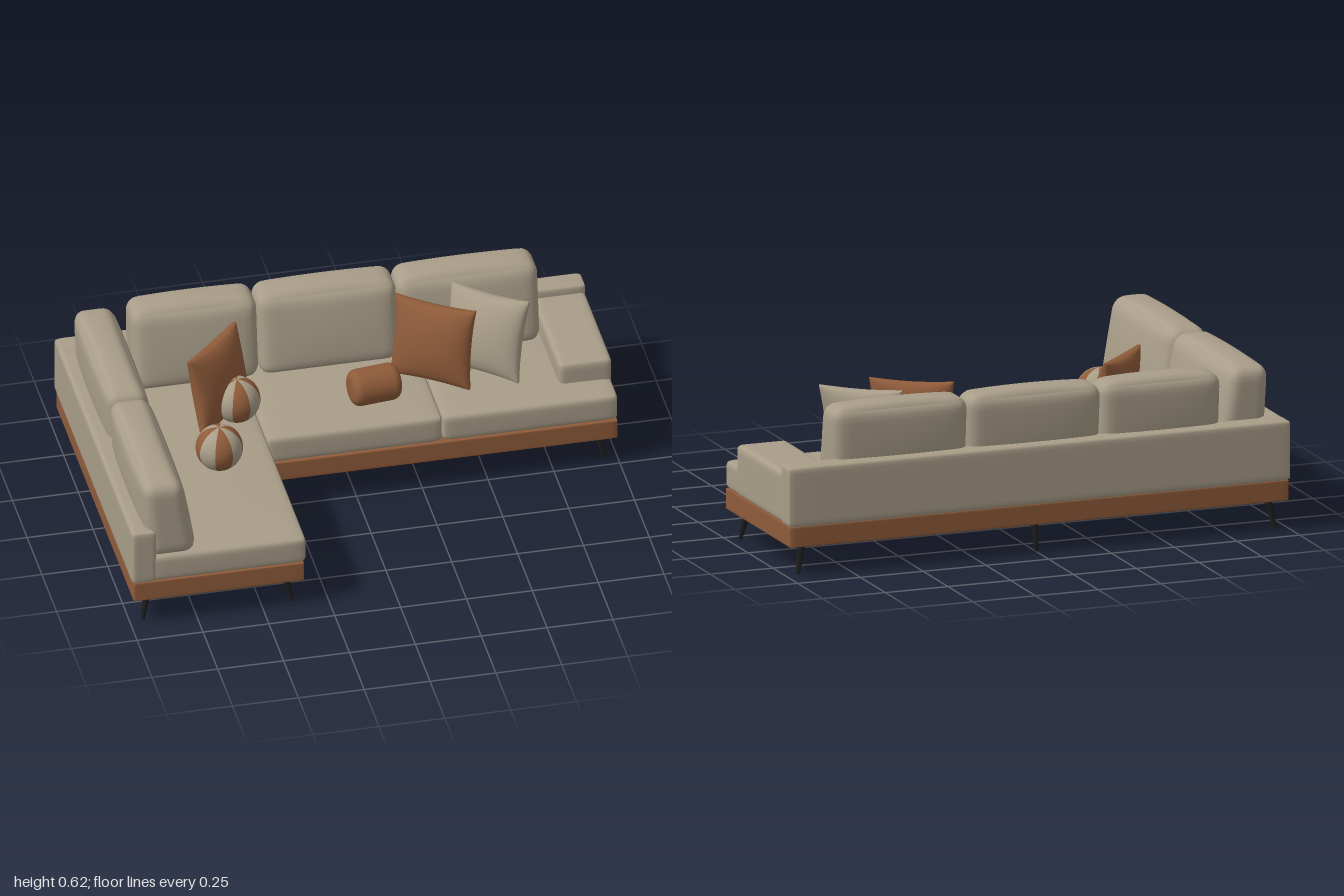
import * as THREE from 'three';
import { mergeVertices } from 'three/addons/utils/BufferGeometryUtils.js';

const material = (name, color) => {
  const m = new THREE.MeshStandardMaterial({ color });
  m.name = name;
  return m;
};

// Weld a moved geometry and give it smooth normals
function smooth(geo) {
  geo.deleteAttribute('normal');
  geo.deleteAttribute('uv');
  const welded = mergeVertices(geo, 1e-5);
  welded.computeVertexNormals();
  return welded;
}

// Rounded box whose faces swell by bulge = [x, y, z]; points gather near the edges
function softBox(size, r, bulge = [0, 0, 0], n = 14) {
  const geo = new THREE.BoxGeometry(2, 2, 2, n, n, n);
  const pos = geo.attributes.position;
  const half = new THREE.Vector3(...size).multiplyScalar(0.5);
  const inner = half.clone().subScalar(r);
  const p = new THREE.Vector3(), core = new THREE.Vector3();
  for (let i = 0; i < pos.count; i++) {
    p.fromBufferAttribute(pos, i);
    const u = p.toArray().map((v) => Math.sin((v * Math.PI) / 2));
    p.set(...u).multiply(half);
    core.copy(p).clamp(inner.clone().negate(), inner);
    p.sub(core).normalize().multiplyScalar(r).add(core);
    const swell = u.map((v) => 1 - v * v);
    p.x += u[0] * bulge[0] * swell[1] * swell[2];
    p.y += u[1] * bulge[1] * swell[0] * swell[2];
    p.z += u[2] * bulge[2] * swell[0] * swell[1];
    pos.setXYZ(i, p.x, p.y, p.z);
  }
  return smooth(geo);
}

// Back cushion: leans back and gets thinner toward the top
function backCushionGeometry(width) {
  const h = 0.32;
  const geo = softBox([width, h, 0.18], 0.048, [0, 0.012, 0.012], 18);
  const pos = geo.attributes.position;
  for (let i = 0; i < pos.count; i++) {
    const t = pos.getY(i) / h + 0.5;
    pos.setZ(i, pos.getZ(i) * (1.04 - 0.2 * t) - 0.038 * (t - 0.5));
  }
  geo.computeVertexNormals();
  return geo;
}

// Square throw pillow: full in the middle, drawn in between its four corners
function pillowGeometry(size, thickness) {
  const geo = new THREE.BoxGeometry(2, 2, 2, 20, 20, 1);
  const pos = geo.attributes.position;
  for (let i = 0; i < pos.count; i++) {
    const u = Math.sin((pos.getX(i) * Math.PI) / 2);
    const v = Math.sin((pos.getY(i) * Math.PI) / 2);
    const puff = Math.sqrt(Math.max(0, (1 - u * u) * (1 - v * v)));
    pos.setXYZ(i,
      u * (size / 2) * (1 - 0.07 * (1 - v * v)),
      v * (size / 2) * (1 - 0.07 * (1 - u * u)),
      Math.sign(pos.getZ(i)) * (0.006 + (thickness / 2 - 0.006) * puff));
  }
  return smooth(geo);
}

export function createModel() {
  const model = new THREE.Group();
  model.name = 'cornerSofa';
  const fabric = material('beigeFabric', 0xa89d88);
  const brown = material('warmBrown', 0x8f5b3a);
  const black = material('blackMetal', 0x1c1c1c);

  const add = (name, geo, mat, x = 0, y = 0, z = 0, parent = model) => {
    const mesh = new THREE.Mesh(geo, mat);
    mesh.name = name;
    mesh.position.set(x, y, z);
    parent.add(mesh);
    return mesh;
  };

  // Rounded block given by its limits
  const block = (name, mat, [x0, x1], [y0, y1], [z0, z1], r, bulge) =>
    add(name, softBox([x1 - x0, y1 - y0, z1 - z0], r, bulge), mat,
      (x0 + x1) / 2, (y0 + y1) / 2, (z0 + z1) / 2);

  // Wooden base in two sections
  block('mainBase', brown, [-0.993, 0.993], [0.11, 0.19], [-0.66, -0.002], 0.005);
  block('chaiseBase', brown, [-0.993, -0.345], [0.11, 0.19], [-0.002, 0.66], 0.005);

  // Splayed tapered legs: foot position and outward lean
  const legs = [
    [-0.95, -0.625, -1, -1], [0, -0.625, 0, -1], [0.95, -0.625, 1, -1],
    [0.95, -0.045, 1, 1], [-0.3, -0.045, 0, 1],
    [-0.95, 0.62, -1, 1], [-0.385, 0.62, 1, 1],
  ];
  const up = new THREE.Vector3(0, 1, 0);
  for (const [x, z, sx, sz] of legs) {
    const foot = new THREE.Vector3(x, 0.001, z);
    const top = new THREE.Vector3(x - sx * 0.022, 0.115, z - sz * 0.02);
    const axis = top.clone().sub(foot);
    const leg = add('leg', new THREE.CylinderGeometry(0.016, 0.007, axis.length(), 16), black);
    leg.position.copy(foot).add(top).multiplyScalar(0.5);
    leg.quaternion.setFromUnitVectors(up, axis.normalize());
  }

  // Seats
  const swell = [0, 0.006, 0.002];
  block('chaiseSeat', fabric, [-0.93, -0.337], [0.188, 0.3], [-0.6, 0.663], 0.022, swell);
  block('middleSeat', fabric, [-0.337, 0.33], [0.188, 0.3], [-0.6, -0.004], 0.022, swell);
  block('rightSeat', fabric, [0.33, 0.996], [0.188, 0.3], [-0.6, -0.004], 0.022, swell);

  // Low frame walls and armrest
  block('backWall', fabric, [-1, 1], [0.188, 0.417], [-0.667, -0.573], 0.016);
  block('sideWall', fabric, [-1, -0.905], [0.188, 0.415], [-0.6, 0.665], 0.016);
  block('armrest', fabric, [0.797, 0.999], [0.188, 0.386], [-0.59, -0.12], 0.022);

  // Back cushions along the long wall, then along the side wall
  for (const [a, b] of [[-0.747, -0.27], [-0.27, 0.26], [0.26, 0.797]]) {
    add('backCushion', backCushionGeometry(b - a), fabric, (a + b) / 2, 0.448, -0.523);
  }
  for (const [a, b] of [[-0.572, 0.045], [0.045, 0.66]]) {
    const c = add('sideCushion', backCushionGeometry(b - a), fabric, -0.86, 0.448, (a + b) / 2);
    c.rotation.y = Math.PI / 2;
  }

  // Throw pillows: position, yaw, lean
  const pillow = (name, mat, x, z, yaw, lean) => {
    const p = add(name, pillowGeometry(0.32, 0.12), mat, x, 0.457, z);
    p.rotation.set(-lean, yaw, 0, 'YXZ');
  };
  pillow('cornerPillow', brown, -0.478, -0.205, Math.PI / 4, 0.19);
  pillow('brownPillow', brown, 0.352, -0.275, -0.6, 0.19);
  pillow('beigePillow', fabric, 0.555, -0.295, -0.67, 0.3);

  // Bolster with rounded ends
  const profile = [new THREE.Vector2(0, -0.097)];
  for (let i = 0; i <= 6; i++) {
    const a = (i / 6) * (Math.PI / 2);
    profile.push(new THREE.Vector2(0.037 + 0.033 * Math.sin(a), -0.062 - 0.033 * Math.cos(a)));
  }
  const mirrored = profile.map((p) => new THREE.Vector2(p.x, -p.y)).reverse();
  const bolster = add('bolster', new THREE.LatheGeometry([...profile, ...mirrored], 32), brown,
    0.105, 0.372, -0.17);
  bolster.rotation.set(0, 0.12, Math.PI / 2, 'YXZ');

  // Ball cushions made of eight alternating wedges
  for (const [x, y, z] of [[-0.55, 0.388, 0.132], [-0.418, 0.388, -0.163]]) {
    const ball = new THREE.Group();
    ball.name = 'ballCushion';
    ball.position.set(x, y, z);
    model.add(ball);
    for (let k = 0; k < 8; k++) {
      const wedge = new THREE.SphereGeometry(0.088, 6, 24, (k - 0.5) * Math.PI / 4, Math.PI / 4);
      add('ballWedge', wedge, k % 2 ? fabric : brown, 0, 0, 0, ball);
    }
  }
  return model;
}
